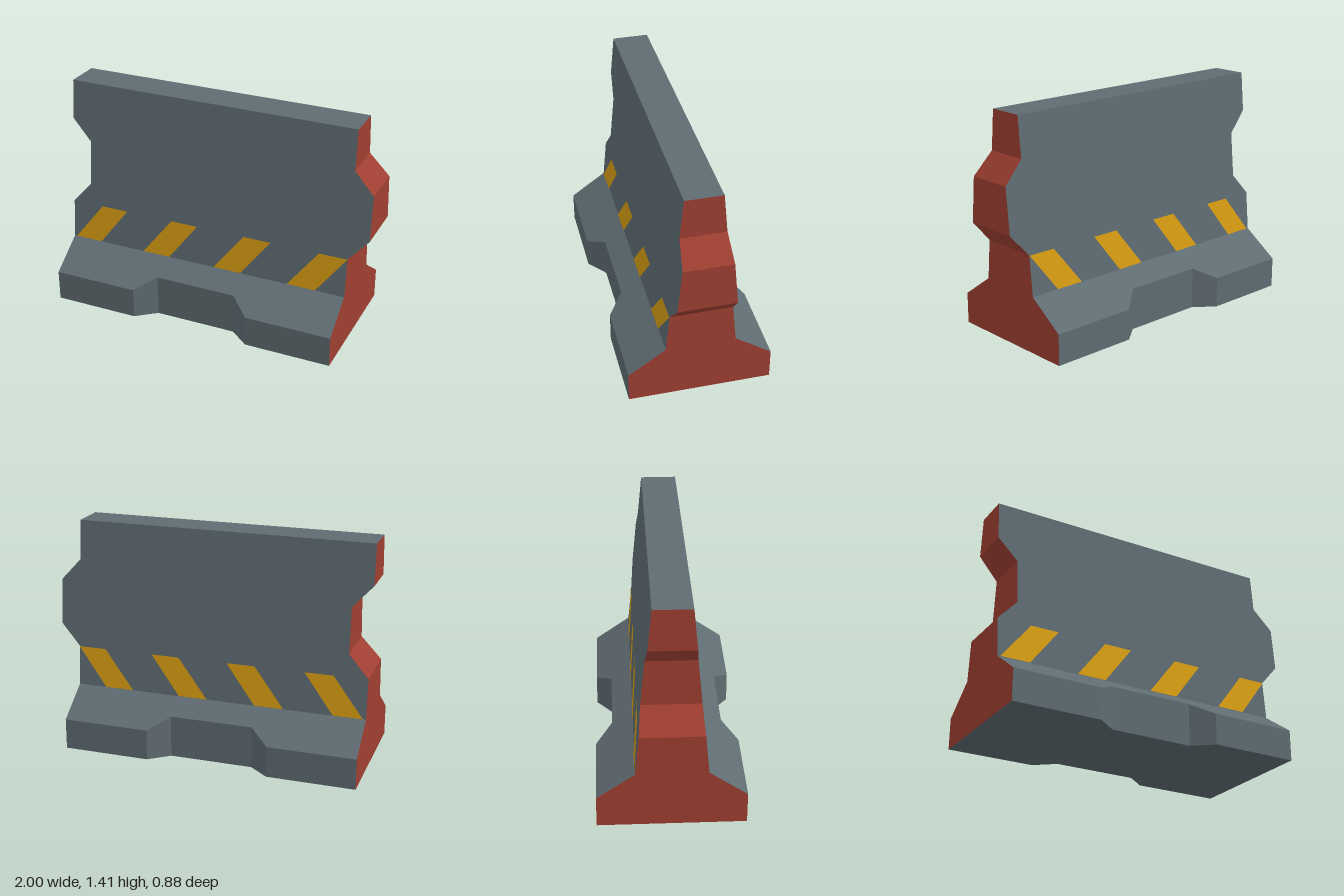
import * as THREE from 'three';

const material = (name, color) => {
  const m = new THREE.MeshStandardMaterial({ color });
  m.name = name;
  return m;
};

// Flat-shaded geometry from quads, each [a, b, c, d] counter-clockwise from outside
function quadGeometry(quads) {
  const pos = [];
  for (const [a, b, c, d] of quads) for (const p of [a, b, c, a, c, d]) pos.push(...p);
  const g = new THREE.BufferGeometry();
  g.setAttribute('position', new THREE.Float32BufferAttribute(pos, 3));
  g.computeVertexNormals();
  return g;
}

const LEDGE = 0.355, TOP = 1.415, CURB = 0.195;
// Half thickness of the tapering wall at height y
const halfAt = (y) => THREE.MathUtils.mapLinear(y, LEDGE, TOP, 0.213, 0.113);

export function createModel() {
  const group = new THREE.Group();
  const concrete = material('concrete grey', 0x5f6c72);
  const red = material('end red', 0x9f3f31);
  const yellow = material('stripe yellow', 0xda9f12);
  const add = (name, geometry, mat) => {
    const mesh = new THREE.Mesh(geometry, mat);
    mesh.name = name;
    group.add(mesh);
  };

  // Upper wall: notch on one end, matching tongue on the other, thinner towards the top
  const edge = [[0, LEDGE], [0, 0.605], [0.125, 0.745], [0.125, 1.03], [0, 1.165], [0, TOP]];
  const outline = [
    ...edge.map(([dx, y]) => new THREE.Vector2(0.875 + dx, y)),
    ...edge.map(([dx, y]) => new THREE.Vector2(-1 + dx, y)).reverse(),
  ];
  const wall = new THREE.ExtrudeGeometry(new THREE.Shape(outline), { depth: 1, bevelEnabled: false });
  const p = wall.attributes.position;
  for (let i = 0; i < p.count; i++) p.setZ(i, (p.getZ(i) - 0.5) * 2 * halfAt(p.getY(i)));
  wall.computeVertexNormals();
  // Faces, top and underside are concrete; the end faces are red
  const sideStart = wall.groups[1].start;
  wall.clearGroups();
  wall.addGroup(0, sideStart, 0);
  for (let i = sideStart; i < p.count; i += 3) {
    wall.addGroup(i, 3, Math.abs(wall.attributes.normal.getY(i)) > 0.99 ? 0 : 1);
  }
  add('wall', wall, [concrete, red]);

  // Base: cross-sections along x, set back in the middle on both sides
  const stations = [[-1, 0.44], [-0.45, 0.44], [-0.325, 0.34], [0.2, 0.34], [0.325, 0.44], [0.875, 0.44]];
  const section = ([x, z]) => {
    const y = THREE.MathUtils.mapLinear(z, 0.44, 0.213, CURB, LEDGE);
    return [[x, 0, z], [x, y, z], [x, LEDGE, 0.213], [x, LEDGE, -0.213], [x, y, -z], [x, 0, -z]];
  };
  const rings = stations.map(section);
  const sides = [];
  for (let s = 0; s < rings.length - 1; s++) {
    const a = rings[s], b = rings[s + 1];
    for (let i = 0; i < 6; i++) {
      const j = (i + 1) % 6;
      sides.push([a[i], b[i], b[j], a[j]]);
    }
  }
  add('base', quadGeometry(sides), concrete);

  // Red end faces of the base
  const l = rings[0], r = rings[rings.length - 1];
  add('baseEnds', quadGeometry([
    [r[0], r[5], r[4], r[1]], [r[1], r[4], r[3], r[2]],
    [l[1], l[4], l[5], l[0]], [l[2], l[3], l[4], l[1]],
  ]), red);

  // Slanted warning stripes on both faces
  const stripes = [];
  const y0 = LEDGE + 0.002, y1 = 0.605;
  for (let k = 0; k < 4; k++) {
    const x = -0.982 + k * 0.495;
    for (const side of [1, -1]) {
      const at = (px, y) => [px, y, side * (halfAt(y) + 0.003)];
      const quad = [at(x, y0), at(x + 0.185, y0), at(x + 0.373, y1), at(x + 0.193, y1)];
      stripes.push(side > 0 ? quad : quad.reverse());
    }
  }
  add('warningStripes', quadGeometry(stripes), yellow);

  return group;
}
